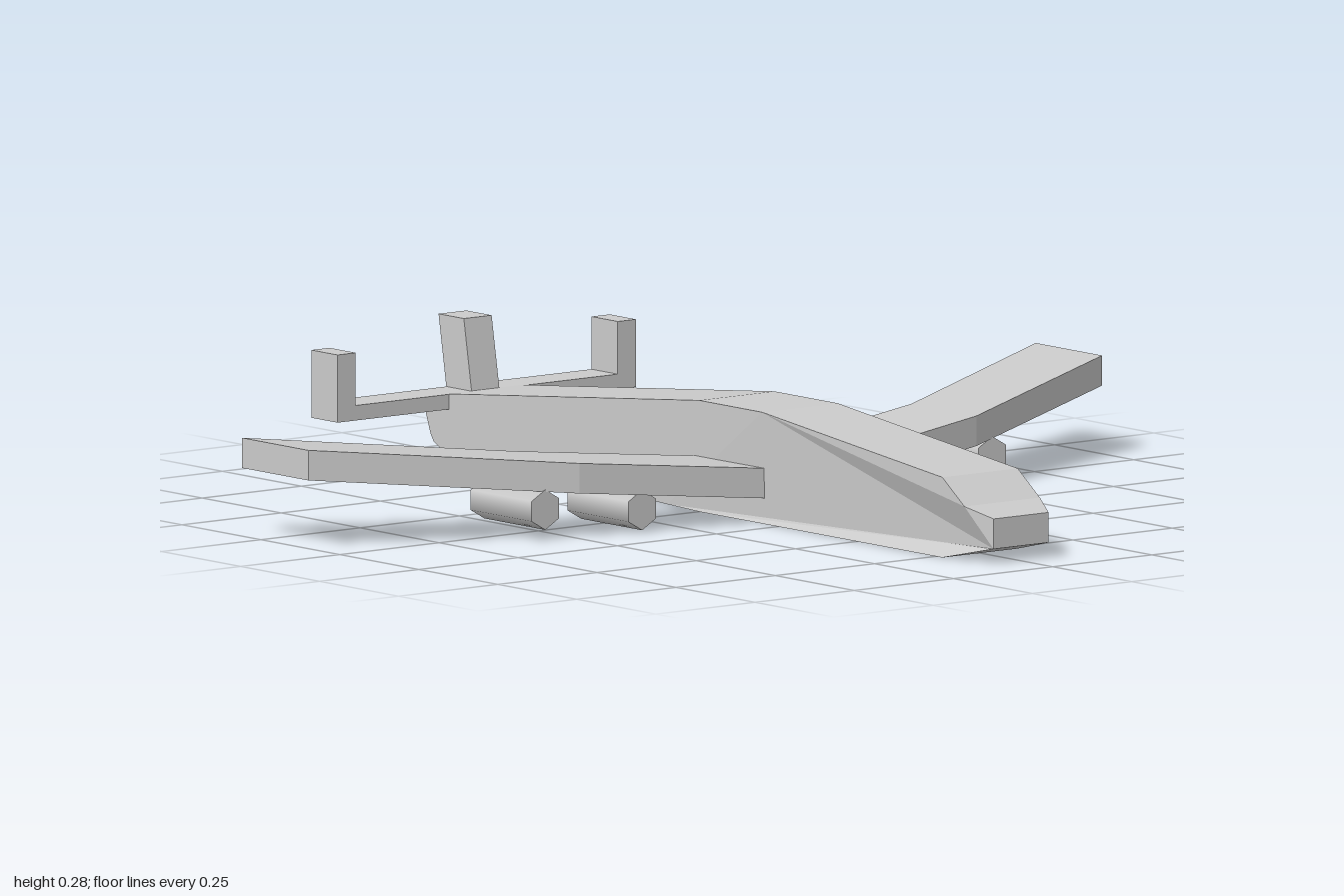
import * as THREE from 'three';

const material = new THREE.MeshStandardMaterial({ color: 0xcccccc, flatShading: true });
const smoothMaterial = new THREE.MeshStandardMaterial({ color: 0xcccccc });

function part(name, geometry, x = 0, y = 0, z = 0, mat = material) {
  const mesh = new THREE.Mesh(geometry, mat);
  mesh.name = name;
  mesh.position.set(x, y, z);
  return mesh;
}

// Extrudes a [z, y] outline across x, centred on x = 0.
function sideProfile(points, width) {
  const shape = new THREE.Shape(points.map(([z, y]) => new THREE.Vector2(z, y)));
  const geometry = new THREE.ExtrudeGeometry(shape, { depth: width, bevelEnabled: false });
  return geometry.translate(0, 0, -width / 2).rotateY(-Math.PI / 2);
}

// Long slab body with a pinched nose and a rounded tail end.
function fuselageGeometry() {
  const geometry = sideProfile([
    [0.9, 0.03], [0.9, 0.09], [0.84, 0.11], [0.77, 0.16], [0.2, 0.222], [0, 0.222],
    [-0.8, 0.14], [-0.875, 0.13], [-0.865, 0.095], [-0.85, 0.055], [-0.84, 0.04], [-0.82, 0.03],
    [-0.1, 0.003], [0, 0], [0.77, 0],
  ], 0.19);
  const p = geometry.attributes.position;
  for (let i = 0; i < p.count; i++) {
    if (p.getZ(i) > 0.87) p.setX(i, p.getX(i) * 0.73);
  }
  geometry.computeVertexNormals();
  return geometry;
}

// Swept, cranked wing lofted through rectangular sections from tip to tip.
function wingGeometry() {
  const half = [[0.09, 0.2, -0.01, 0.05], [0.5, 0.13, -0.075, 0.09], [1, -0.1, -0.31, 0.136]];
  const sections = [...half.map(([x, ...rest]) => [-x, ...rest]).reverse(), ...half];
  const positions = [];
  const index = [];
  for (const [x, front, back, y] of sections) {
    const top = y + 0.06;
    positions.push(x, y, front, x, top, front, x, top, back, x, y, back);
  }
  for (let s = 0; s < sections.length - 1; s++) {
    for (let k = 0; k < 4; k++) {
      const a = s * 4 + k, b = s * 4 + (k + 1) % 4;
      index.push(a, a + 4, b, b, a + 4, b + 4);
    }
  }
  const e = (sections.length - 1) * 4;
  index.push(0, 1, 2, 0, 2, 3, e, e + 2, e + 1, e, e + 3, e + 2);
  const geometry = new THREE.BufferGeometry();
  geometry.setAttribute('position', new THREE.Float32BufferAttribute(positions, 3));
  geometry.setIndex(index);
  const flat = geometry.toNonIndexed();
  flat.computeVertexNormals();
  return flat;
}

export function createModel() {
  const model = new THREE.Group();
  model.name = 'airplane';
  model.add(part('fuselage', fuselageGeometry()));
  model.add(part('wing', wingGeometry()));

  // Tailplane with a raked central fin
  model.add(part('tailplane', new THREE.BoxGeometry(0.75, 0.03, 0.083), 0, 0.125, -0.833));
  model.add(part('centreFin', sideProfile(
    [[-0.792, 0.12], [-0.82, 0.282], [-0.9, 0.282], [-0.872, 0.12]], 0.07)));

  // Six-sided engines under the wing and upright fins at the tailplane tips
  const engine = new THREE.CylinderGeometry(0.04, 0.04, 0.193, 6).rotateX(Math.PI / 2);
  const fin = new THREE.BoxGeometry(0.046, 0.135, 0.083);
  for (const [side, s] of [['left', 1], ['right', -1]]) {
    model.add(part(side + 'InnerEngine', engine, s * 0.355, 0.045, 0.05, smoothMaterial));
    model.add(part(side + 'OuterEngine', engine, s * 0.563, 0.06, 0.005, smoothMaterial));
    model.add(part(side + 'TailFin', fin, s * 0.353, 0.1775, -0.833));
  }
  return model;
}
